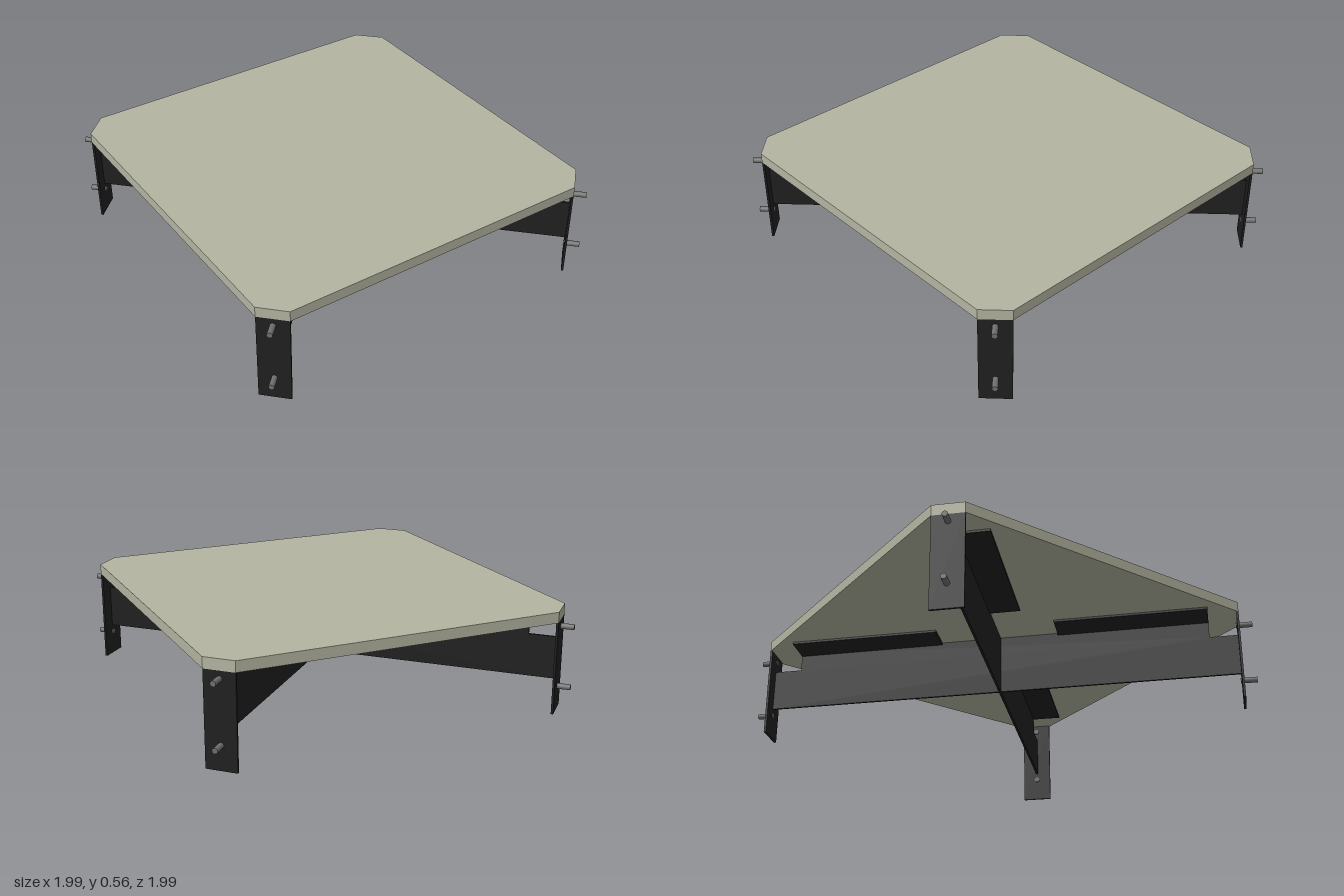
import * as THREE from 'three';

const HALF = 0.995;        // half width of the top
const CUT = 0.118;         // corner chamfer
const UNDER = 0.5;         // underside of the top
const T = 0.012;           // sheet thickness
const REACH = (2 * HALF - CUT) / Math.SQRT2; // centre to chamfer face

function material(name, color) {
  const m = new THREE.MeshStandardMaterial({ color });
  m.name = name;
  return m;
}

function addMesh(parent, name, geometry, mat, x = 0, y = 0, z = 0) {
  const mesh = new THREE.Mesh(geometry, mat);
  mesh.name = name;
  mesh.position.set(x, y, z);
  parent.add(mesh);
  return mesh;
}

function polygon(points) {
  return new THREE.Shape(points.map(([x, y]) => new THREE.Vector2(x, y)));
}

export function createModel() {
  const model = new THREE.Group();
  model.name = 'lowPlatform';
  const stone = material('stoneTop', 0xb3b4a0);
  const black = material('blackSteel', 0x202020);
  const steel = material('boltSteel', 0x707070);

  // Square top with chamfered corners
  const a = HALF, b = HALF - CUT;
  const top = new THREE.ExtrudeGeometry(
    polygon([[b, -a], [a, -b], [a, b], [b, a], [-b, a], [-a, b], [-a, -b], [-b, -a]]),
    { depth: 0.058, bevelEnabled: false });
  top.rotateX(-Math.PI / 2);
  addMesh(model, 'top', top, stone, 0, UNDER, 0);

  // Diagonal beams: notched at the ends, with two flanges folded to one side
  const L = REACH - T, N = 1.16;
  const beamShape = polygon([[-L, 0.17], [L, 0.17], [L, 0.4], [N, 0.4],
    [N, UNDER], [-N, UNDER], [-N, 0.4], [-L, 0.4]]);
  const web = new THREE.ExtrudeGeometry(beamShape, { depth: T, bevelEnabled: false });
  web.translate(0, 0, -T / 2);
  const flange = new THREE.BoxGeometry(N - 0.33, T, 0.17);
  for (let i = 0; i < 2; i++) {
    const beam = new THREE.Group();
    beam.name = 'crossBeam';
    beam.rotation.y = -Math.PI / 4 - i * Math.PI / 2;
    addMesh(beam, 'beamWeb', web, black);
    for (const s of [-1, 1]) {
      addMesh(beam, 'beamFlange', flange, black, s * (N + 0.33) / 2, UNDER - T / 2, 0.085);
    }
    model.add(beam);
  }

  // Corner legs: flat plates across the chamfers, each with two bolts
  const leg = new THREE.BoxGeometry(T, UNDER, CUT * Math.SQRT2);
  const boltStart = REACH - T - 0.006, boltEnd = 1.393;
  const bolt = new THREE.CylinderGeometry(0.015, 0.015, boltEnd - boltStart, 16);
  bolt.rotateZ(Math.PI / 2);
  for (let i = 0; i < 4; i++) {
    const corner = new THREE.Group();
    corner.name = 'cornerLeg';
    corner.rotation.y = Math.PI / 4 + i * Math.PI / 2;
    addMesh(corner, 'legPlate', leg, black, REACH - T / 2, UNDER / 2, 0);
    for (const y of [0.13, 0.46]) {
      addMesh(corner, 'bolt', bolt, steel, (boltStart + boltEnd) / 2, y, 0);
    }
    model.add(corner);
  }

  return model;
}
